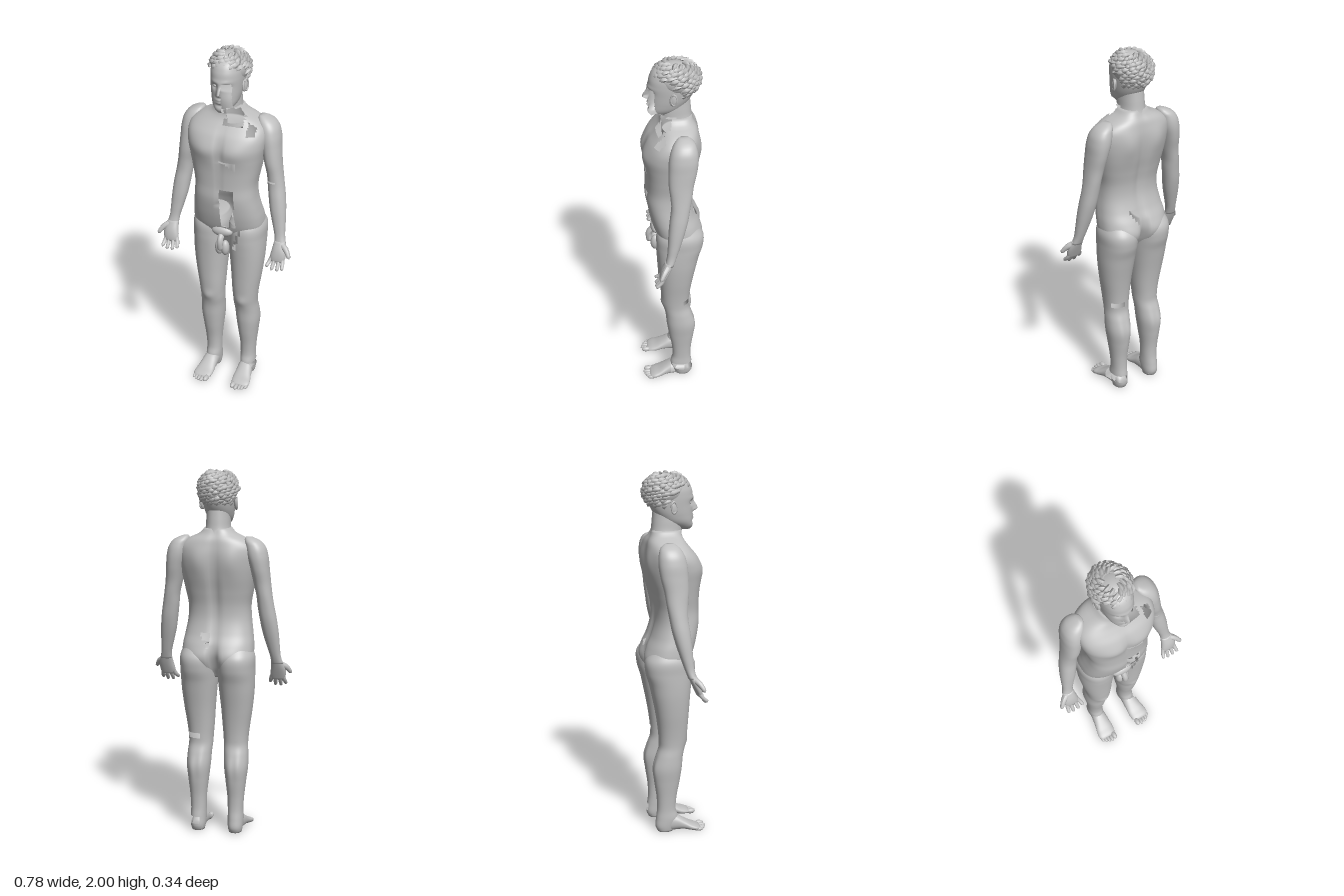
import * as THREE from 'three';

const skin = new THREE.MeshStandardMaterial({ color: 0xc0c0c0, side: THREE.DoubleSide });
skin.name = 'plain grey';

const gauss = (d, w) => Math.exp(-(d * d) / (w * w));
const within = (v, a, b) => v > a && v < b;

function add(parent, name, geometry) {
  const mesh = new THREE.Mesh(geometry, skin);
  mesh.name = name;
  parent.add(mesh);
  return mesh;
}

// Lofts rows [y, centreX, halfWidth, zFront, zBack]; shape() moves points, cut() opens windows
function loft(rows, { step = 0.01, segs = 48, power = 2.2, shape, cut } = {}) {
  const spline = new THREE.CubicInterpolant(rows.map(r => r[0]), rows.flatMap(r => r.slice(1)), 4);
  const y0 = rows[0][0], y1 = rows[rows.length - 1][0];
  const n = Math.max(4, Math.round((y1 - y0) / step));
  const pts = [], index = [];
  const bend = c => Math.sign(c) * Math.abs(c) ** (2 / power);
  for (let i = -1; i <= n + 1; i++) {
    const y = y0 + (y1 - y0) * THREE.MathUtils.clamp(i / n, 0, 1);
    const [cx, rx, zf, zb] = spline.evaluate(y);
    const k = i < 0 || i > n ? 0.001 : 1;
    for (let j = 0; j < segs; j++) {
      const a = (j / segs) * Math.PI * 2;
      const p = new THREE.Vector3(cx + k * rx * bend(Math.cos(a)), y,
        (zf + zb) / 2 + k * (zf - zb) / 2 * bend(Math.sin(a)));
      if (shape && k === 1) shape(p, Math.sin(a));
      pts.push(p);
    }
  }
  const mid = new THREE.Vector3();
  for (let i = 0; i < n + 2; i++) for (let j = 0; j < segs; j++) {
    const a = i * segs + j, b = i * segs + (j + 1) % segs;
    mid.copy(pts[a]).add(pts[b + segs]).multiplyScalar(0.5);
    if (cut && cut(mid.x, mid.y, mid.z)) continue;
    index.push(a, a + segs, b, b, a + segs, b + segs);
  }
  const g = new THREE.BufferGeometry().setFromPoints(pts);
  g.setIndex(index);
  g.computeVertexNormals();
  return g;
}

// Tapered rounded tube through points
function limb(points, radii, sides = 10, steps = 12) {
  const curve = new THREE.CatmullRomCurve3(points.map(p => new THREE.Vector3(...p)));
  const g = new THREE.TubeGeometry(curve, steps, 1, sides);
  const pos = g.attributes.position, v = new THREE.Vector3();
  for (let i = 0; i < pos.count; i++) {
    const t = Math.floor(i / (sides + 1)) / steps, c = curve.getPointAt(t);
    const f = t * (radii.length - 1), k = Math.min(Math.floor(f), radii.length - 2);
    const r = THREE.MathUtils.lerp(radii[k], radii[k + 1], f - k);
    const round = Math.sqrt(Math.max(0, 1 - Math.max(0, (t - 0.85) / 0.15) ** 2));
    v.fromBufferAttribute(pos, i).sub(c).multiplyScalar(r * round).add(c);
    pos.setXYZ(i, v.x, v.y, v.z);
  }
  g.computeVertexNormals();
  return g;
}

const ball = (x, y, z, rx, ry, rz) =>
  new THREE.SphereGeometry(1, 20, 14).scale(rx, ry, rz).translate(x, y, z);

function makeTorso(root) {
  const rows = [
    [0.88, 0, 0.1, 0.03, -0.09], [0.94, 0, 0.17, 0.06, -0.14], [1, 0, 0.193, 0.09, -0.16],
    [1.06, 0, 0.193, 0.11, -0.15], [1.12, 0, 0.184, 0.125, -0.125], [1.2, 0, 0.172, 0.138, -0.105],
    [1.27, 0, 0.17, 0.136, -0.105], [1.35, 0, 0.184, 0.138, -0.12], [1.43, 0, 0.2, 0.143, -0.138],
    [1.5, 0, 0.213, 0.143, -0.147], [1.56, 0, 0.215, 0.12, -0.148], [1.6, 0, 0.2, 0.088, -0.143],
    [1.635, 0, 0.155, 0.062, -0.135], [1.66, 0, 0.1, 0.052, -0.122], [1.69, 0, 0.07, 0.05, -0.11]];
  const shape = (p, s) => {
    const x = Math.abs(p.x);
    if (s > 0) { // chest, breastbone and midline
      p.z += s * (0.012 * gauss(x - 0.085, 0.07) * gauss(p.y - 1.475, 0.055)
        - 0.012 * gauss(x, 0.016) * gauss(p.y - 1.48, 0.09)
        - 0.005 * gauss(x, 0.012) * gauss(p.y - 1.25, 0.14)
        - 0.008 * gauss(x, 0.01) * gauss(p.y - 1.17, 0.012));
    } else { // shoulder blades, spine and seat
      p.z += s * (0.012 * gauss(x - 0.09, 0.05) * gauss(p.y - 1.52, 0.08)
        - 0.016 * gauss(x, 0.025) * gauss(p.y - 1.35, 0.25)
        + 0.012 * gauss(x - 0.09, 0.06) * gauss(p.y - 0.99, 0.06)
        - 0.045 * gauss(x, 0.022) * gauss(p.y - 0.96, 0.09));
    }
  };
  const cut = (x, y, z) => z > 0
    ? (within(x, 0, 0.08) && within(y, 1.02, 1.26)) || (within(x, 0.01, 0.105) && within(y, 1.61, 1.7))
      || (within(x, 0.01, 0.09) && within(y, 1.42 - (x > 0.04 ? (x - 0.04) : 0), 1.435 - x * 0.1))
      || (within(x, 0.13, 0.175) && within(y, 1.57, 1.63 - (x - 0.13) * 0.5))
    : within(x, 0.012, 0.085) && within(y, 1.13 - (0.085 - x) * 1.5, 1.13);
  add(root, 'torso', loft(rows, { segs: 96, power: 2.6, shape, cut }));
  for (const s of [-1, 1]) add(root, 'nipple', ball(s * 0.128, 1.475, 0.122, 0.007, 0.007, 0.006));
}

function makeHead(root) {
  const head = new THREE.Group();
  head.name = 'head';
  root.add(head);
  add(head, 'neck', loft([
    [1.58, 0, 0.1, 0.045, -0.13], [1.64, 0, 0.084, 0.045, -0.125], [1.68, 0, 0.068, 0.055, -0.112],
    [1.74, 0, 0.063, 0.06, -0.105], [1.79, 0, 0.06, 0.05, -0.1]],
  { cut: (x, y, z) => within(x, 0.01, 0.105) && within(y, 1.61, 1.7) && z > -0.02 }));
  // Skull with brow, eye sockets, nose, lips and chin
  const shape = (p, s) => {
    if (s <= 0) return;
    const x = Math.abs(p.x), noseY = p.y < 1.797 ? 0.012 : 0.04;
    p.z += s * (0.032 * gauss(x, 0.015) * gauss(p.y - 1.797, noseY)
      + 0.007 * gauss(x - 0.013, 0.01) * gauss(p.y - 1.79, 0.009)
      - 0.014 * gauss(x - 0.034, 0.018) * gauss(p.y - 1.832, 0.015)
      + 0.005 * gauss(x - 0.03, 0.03) * gauss(p.y - 1.858, 0.012)
      + 0.008 * gauss(x, 0.024) * gauss(p.y - 1.763, 0.007)
      + 0.008 * gauss(x, 0.02) * gauss(p.y - 1.748, 0.007)
      - 0.004 * gauss(x, 0.03) * gauss(p.y - 1.733, 0.008));
  };
  add(head, 'face', loft([
    [1.69, 0, 0.03, 0.105, 0.03], [1.705, 0, 0.045, 0.116, -0.01], [1.73, 0, 0.063, 0.115, -0.05],
    [1.77, 0, 0.075, 0.113, -0.09], [1.82, 0, 0.082, 0.112, -0.118], [1.87, 0, 0.085, 0.114, -0.127],
    [1.91, 0, 0.083, 0.107, -0.125], [1.95, 0, 0.07, 0.083, -0.105], [1.975, 0, 0.04, 0.045, -0.07]],
  { step: 0.005, segs: 96, shape,
    cut: (x, y, z) => z > 0.04 && within(x, 0.008, 0.055) && within(y, 1.68, 1.85) }));
  add(head, 'rightEye', ball(-0.034, 1.832, 0.086, 0.013, 0.01, 0.013));
  for (const s of [-1, 1]) {
    const ear = add(head, 'ear', ball(0, 0, 0, 0.009, 0.034, 0.02));
    ear.position.set(s * 0.09, 1.815, -0.008);
    ear.rotation.set(-0.2, s * -0.35, 0);
    const rim = add(head, 'earRim', new THREE.TorusGeometry(0.02, 0.004, 8, 20).scale(0.8, 1.5, 1));
    rim.position.set(s * 0.097, 1.818, -0.01);
    rim.rotation.y = Math.PI / 2 - s * 0.35;
  }
}

function makeHair(root) {
  const hair = new THREE.Group();
  hair.name = 'hair';
  root.add(hair);
  add(hair, 'hairCap', ball(0, 0, 0, 0.096, 0.088, 0.117).rotateX(-0.25).translate(0, 1.895, -0.028));
  let seed = 7;
  const rnd = () => (seed = (seed * 16807) % 2147483647) / 2147483647;
  const at = (u, phi, k) => {
    const r = Math.sqrt(Math.max(0, 1 - u * u));
    return [0.098 * k * r * Math.cos(phi), 1.892 + 0.094 * k * u, -0.028 + 0.116 * k * r * Math.sin(phi)];
  };
  // Locks swirl around the crown and stay off the face
  for (let i = 0; i < 190; i++) {
    const u = 0.97 - 1.65 * (i / 190), phi = i * 2.39996;
    const front = Math.sin(phi + 0.3);
    if ((front > 0.2 && u < 0.42) || (front > -0.2 && u < 0.05)) continue;
    const turn = 0.3 + 0.35 * rnd(), lift = 1.03 + 0.07 * rnd();
    add(hair, 'lock', limb([at(u, phi, 1), at(u - 0.08, phi + turn * 0.5, lift), at(u - 0.24, phi + turn, 1.01)],
      [0.009, 0.014, 0.002], 5, 6));
  }
}

function makeArm(root, s) {
  const arm = new THREE.Group();
  arm.name = s > 0 ? 'leftArm' : 'rightArm';
  root.add(arm);
  const side = rows => rows.map(([y, cx, ...rest]) => [y, s * cx, ...rest]);
  add(arm, 'armAndShoulder', loft(side([
    [0.95, 0.315, 0.032, 0.056, 0.01], [0.99, 0.308, 0.029, 0.046, -0.005], [1.05, 0.298, 0.035, 0.04, -0.025],
    [1.13, 0.285, 0.043, 0.035, -0.05], [1.2, 0.275, 0.045, 0.028, -0.068], [1.27, 0.264, 0.044, 0.02, -0.08],
    [1.33, 0.256, 0.042, 0.022, -0.09], [1.4, 0.244, 0.045, 0.03, -0.1], [1.48, 0.232, 0.05, 0.03, -0.118],
    [1.55, 0.219, 0.056, 0.025, -0.125], [1.6, 0.207, 0.051, 0.01, -0.118], [1.63, 0.19, 0.038, -0.01, -0.103],
    [1.645, 0.175, 0.018, -0.03, -0.08]]),
  { cut: (x, y, z) => within(x, 0.225, 0.275) && within(y, 1.29, 1.302) && z > 0 }));
  add(arm, 'palm', loft(side([
    [0.855, 0.312, 0.038, 0.085, 0.056], [0.88, 0.314, 0.043, 0.084, 0.044],
    [0.92, 0.317, 0.04, 0.075, 0.026], [0.965, 0.313, 0.03, 0.053, 0.008]])));
  // Four fingers, then the thumb
  [[0.281, 0.262, 0.83], [0.302, 0.292, 0.813], [0.322, 0.324, 0.812], [0.341, 0.352, 0.824]].forEach(([b, t, y]) =>
    add(arm, 'finger', limb([[s * b, 0.875, 0.064], [s * (b + t) / 2, 0.85, 0.079], [s * t, y, 0.108]],
      [0.012, 0.011, 0.009])));
  add(arm, 'thumb', limb([[s * 0.325, 0.945, 0.038], [s * 0.358, 0.928, 0.06], [s * 0.386, 0.89, 0.084]],
    [0.02, 0.015, 0.01]));
}

function makeLeg(root, s) {
  const leg = new THREE.Group();
  leg.name = s > 0 ? 'leftLeg' : 'rightLeg';
  root.add(leg);
  const side = rows => rows.map(([y, cx, ...rest]) => [y, s * cx, ...rest]);
  const shape = (p, k) => { // kneecap and calf
    if (k > 0) p.z += k * 0.008 * gauss(p.x - s * 0.1, 0.03) * gauss(p.y - 0.53, 0.03);
    else p.z += k * 0.006 * gauss(Math.abs(p.x - s * 0.105) - 0.028, 0.02) * gauss(p.y - 0.38, 0.07);
  };
  add(leg, 'leg', loft(side([
    [0.005, 0.106, 0.035, -0.02, -0.105], [0.03, 0.106, 0.04, -0.01, -0.117], [0.08, 0.106, 0.043, 0.008, -0.114],
    [0.13, 0.105, 0.042, -0.003, -0.108], [0.2, 0.106, 0.045, 0, -0.11], [0.3, 0.106, 0.056, 0.018, -0.123],
    [0.38, 0.106, 0.065, 0.03, -0.127], [0.45, 0.103, 0.066, 0.037, -0.11], [0.5, 0.099, 0.066, 0.048, -0.095],
    [0.54, 0.099, 0.068, 0.056, -0.095], [0.6, 0.1, 0.074, 0.062, -0.1], [0.7, 0.104, 0.085, 0.068, -0.115],
    [0.8, 0.105, 0.095, 0.075, -0.135], [0.86, 0.104, 0.099, 0.08, -0.148], [0.93, 0.104, 0.1, 0.085, -0.168],
    [1, 0.103, 0.1, 0.083, -0.168], [1.05, 0.1, 0.083, 0.06, -0.135]]),
  { shape, cut: (x, y, z) => x > 0 && (
    (z < -0.03 && within(y, 0.53, 0.56) && within(x, 0.09, 0.16))
    || (z < 0 && within(y, 0.04, 0.085) && x > 0.09)
    || (z > 0 && within(x, 0.02, 0.08) && within(y, 1.02, 1.1))
    || (z > 0 && within(y, 0.87, 1.05) && within(x, 0.05 + (y - 0.87) * 0.3, 0.07 + (y - 0.87) * 0.25))) }));
  // Foot, lofted from heel to ball
  add(leg, 'foot', loft(side([
    [-0.1, 0.105, 0.03, -0.004, -0.055], [-0.05, 0.106, 0.038, -0.002, -0.1], [0, 0.108, 0.043, -0.006, -0.094],
    [0.04, 0.111, 0.047, -0.008, -0.07], [0.08, 0.115, 0.053, -0.002, -0.046], [0.11, 0.118, 0.052, -0.002, -0.034],
    [0.13, 0.116, 0.042, -0.006, -0.024]]),
  { cut: (x, z, y) => x > 0.1 && within(z, -0.07, 0.01) && y < -0.03 }).rotateX(Math.PI / 2));
  [[0.084, 0.138, 0.015], [0.106, 0.143, 0.011], [0.125, 0.138, 0.01], [0.142, 0.13, 0.01], [0.158, 0.119, 0.01]]
    .forEach(([x, z, r]) => add(leg, 'toe', ball(s * x, r + 0.001, z, r, r, 0.026)));
}

// Simple lower front of the body
function makeGroin(root) {
  const groin = new THREE.Group();
  groin.name = 'groin';
  root.add(groin);
  add(groin, 'mound', ball(0, 0.985, 0.085, 0.06, 0.03, 0.025));
  for (const s of [-1, 1]) add(groin, 'pouch', ball(s * 0.017, 0.885, 0.085, 0.023, 0.045, 0.026));
  add(groin, 'member', limb([[0, 0.975, 0.09], [0, 0.94, 0.118], [0, 0.88, 0.115]], [0.018, 0.017, 0.016]));
}

export function createModel() {
  const root = new THREE.Group();
  root.name = 'standingFigure';
  makeTorso(root);
  makeHead(root);
  makeHair(root);
  makeGroin(root);
  for (const s of [-1, 1]) {
    makeArm(root, s);
    makeLeg(root, s);
  }
  return root;
}
